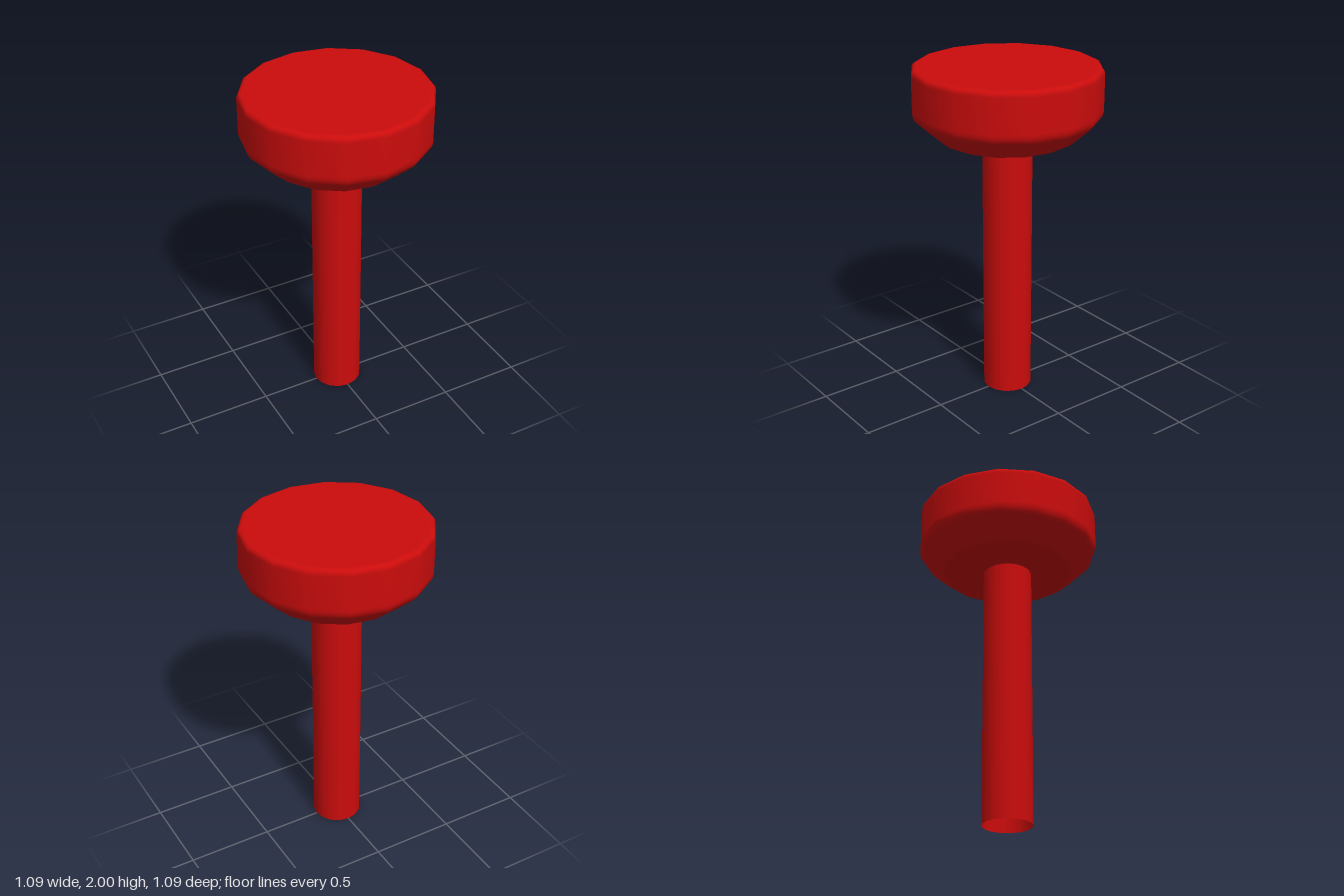
import * as THREE from 'three';

const SIDES = 16;

export function createModel() {
  const group = new THREE.Group();
  const red = new THREE.MeshStandardMaterial({ color: 0xcc0c0c, side: THREE.DoubleSide });

  // Head: flat top, straight wall and bevelled underside, all with small rounded corners
  const corners = [
    // start, control and end of each rounded corner, from the bottom up
    [[0.335, 1.58], [0.385, 1.58], [0.415, 1.61]],
    [[0.515, 1.7], [0.543, 1.725], [0.543, 1.765]],
    [[0.543, 1.965], [0.543, 2], [0.508, 2]],
  ];
  const profile = [new THREE.Vector2(0, 1.58)];
  for (const corner of corners) {
    const [a, b, c] = corner.map(([r, y]) => new THREE.Vector2(r, y));
    profile.push(...new THREE.QuadraticBezierCurve(a, b, c).getPoints(4));
  }
  profile.push(new THREE.Vector2(0, 2));
  const head = new THREE.Mesh(new THREE.LatheGeometry(profile, SIDES), red);
  head.name = 'head';
  group.add(head);

  // Shaft: hollow tube, open at the foot
  const shaft = new THREE.Mesh(new THREE.CylinderGeometry(0.145, 0.145, 1.58, SIDES, 1, true), red);
  shaft.name = 'shaft';
  shaft.position.y = 0.79;
  group.add(shaft);

  return group;
}
